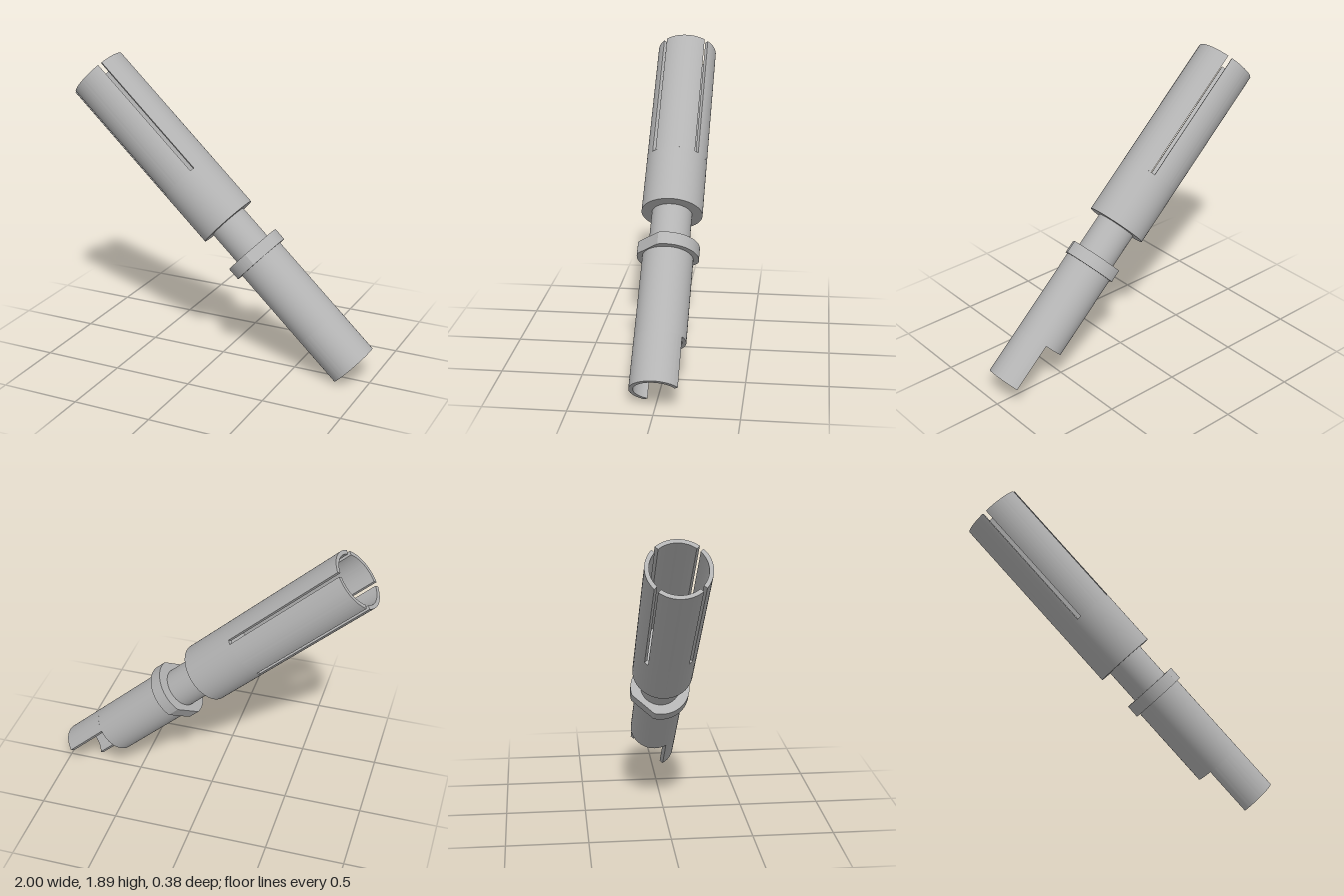
import * as THREE from 'three';
import { toCreasedNormals } from 'three/addons/utils/BufferGeometryUtils.js';

const D = Math.PI / 180;
const metal = new THREE.MeshStandardMaterial({ color: 0xb4b4b4 });
metal.name = 'grey metal';

// Everything is built along local z, then the group is tilted.
function addPart(group, name, geometry) {
  const mesh = new THREE.Mesh(toCreasedNormals(geometry, 30 * D), metal);
  mesh.name = name;
  group.add(mesh);
}

// Turned part: points are [radius, distance along the axis]
function turned(points) {
  const profile = points.map(([r, s]) => new THREE.Vector2(r, s));
  return new THREE.LatheGeometry(profile, 64).rotateX(Math.PI / 2);
}

function extruded(shape, from, to) {
  return new THREE.ExtrudeGeometry(shape, { depth: to - from, bevelEnabled: false, curveSegments: 32 })
    .translate(0, 0, from);
}

// Curved wall between two radii, each with its own start and end angle
function wallSection(outer, o0, o1, inner, i0, i1) {
  const shape = new THREE.Shape();
  shape.absarc(0, 0, outer, o0, o1, false);
  shape.absarc(0, 0, inner, i1, i0, true);
  shape.closePath();
  return shape;
}

export function createModel() {
  const group = new THREE.Group();
  group.name = 'contactPin';

  // Four spring fingers separated by narrow slots
  const R = 0.19, r = 0.165, half = 0.014, slotEnd = 0.866;
  const go = Math.asin(half / R), gi = Math.asin(half / r);
  for (let k = 0; k < 4; k++) {
    const a = (45 + 90 * k) * D, b = a + 90 * D;
    const finger = wallSection(R, a + go, b - go, r, a + gi, b - gi);
    addPart(group, 'springFinger' + (k + 1), extruded(finger, 0, slotEnd));
  }

  // Socket base with bore floor, stepping down to the neck
  addPart(group, 'socketBase', turned([
    [0, 0.95], [r, 0.95], [r, slotEnd], [R, slotEnd], [R, 1.24], [0.125, 1.24], [0.125, 1.5],
  ]));

  // Collar with two opposite flats
  const collar = new THREE.Shape();
  collar.absarc(0, 0, R, -15 * D, 105 * D, false);
  collar.absarc(0, 0, R, 165 * D, 285 * D, false);
  collar.closePath();
  addPart(group, 'collar', extruded(collar, 1.47, 1.552));

  // Rear barrel with its bore
  const B = 0.156, b = 0.13, cutStart = 2.1, end = 2.415;
  addPart(group, 'rearBarrel', turned([
    [B, 1.52], [B, cutStart], [b, cutStart], [b, 1.65], [0, 1.65],
  ]));

  // Open trough left by a flat cut at the barrel's end
  const cut = 0.043, co = Math.acos(cut / B), ci = Math.acos(cut / b);
  const trough = wallSection(B, -45 * D + co, 315 * D - co, b, -45 * D + ci, 315 * D - ci);
  addPart(group, 'openTrough', extruded(trough, cutStart, end));

  // Tilt the axis down towards +x
  const axis = new THREE.Vector3(0.729, -0.685, 0).normalize();
  const up = new THREE.Vector3(-axis.y, axis.x, 0);
  group.quaternion.setFromRotationMatrix(
    new THREE.Matrix4().makeBasis(new THREE.Vector3(0, 0, -1), up, axis));
  group.position.set(-0.87, 1.757, 0);

  const root = new THREE.Group();
  root.add(group);
  return root;
}
